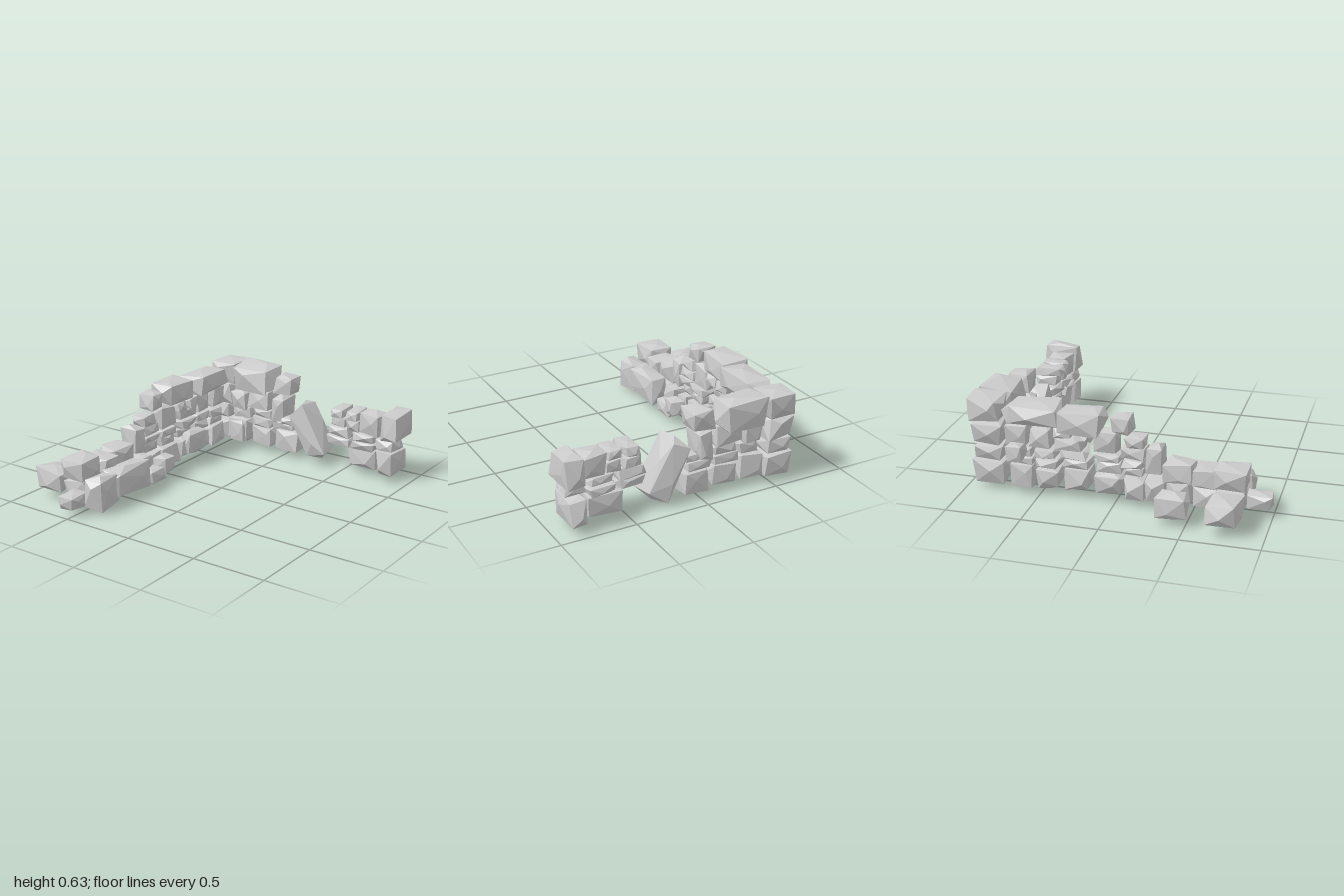
import * as THREE from 'three';
import { ConvexGeometry } from 'three/addons/geometries/ConvexGeometry.js';

// Seeded random numbers in 0..1
let seed = 7;
const rand = () => {
  seed = (seed * 16807) % 2147483647;
  return seed / 2147483647;
};
const range = (a, b) => a + (b - a) * rand();

const material = new THREE.MeshStandardMaterial({ color: 0xcccccc, flatShading: true });

// A rough-hewn block: uneven corners plus bulging faces, fitted to the given size
function stoneGeometry(w, h, d) {
  const points = [];
  for (const x of [-1, 1]) for (const y of [-1, 1]) for (const z of [-1, 1]) {
    points.push(new THREE.Vector3(x * range(0.68, 0.98), y * range(0.68, 0.98), z * range(0.68, 0.98)));
  }
  for (let axis = 0; axis < 3; axis++) for (const s of [-1, 1]) {
    const p = new THREE.Vector3(range(-0.5, 0.5), range(-0.5, 0.5), range(-0.5, 0.5));
    p.setComponent(axis, s * 1.04);
    points.push(p);
  }
  const geometry = new ConvexGeometry(points);
  geometry.scale(w / 2.08, h / 2.08, d / 2.08);
  return geometry;
}

function stone(name, x, y, z, w, h, d) {
  const mesh = new THREE.Mesh(stoneGeometry(w, h, d), material);
  mesh.name = name;
  mesh.position.set(x, y, z);
  return mesh;
}

// A group of stones given as [x0, x1, y0, y1, z0, z1]
function course(name, rows) {
  const group = new THREE.Group();
  group.name = name;
  rows.forEach(([x0, x1, y0, y1, z0, z1], i) => group.add(stone(
    `${name}Stone${i + 1}`, (x0 + x1) / 2, (y0 + y1) / 2, (z0 + z1) / 2, x1 - x0, y1 - y0, z1 - z0)));
  return group;
}

// Stones of the back wall, which runs along x: [x0, x1, y0, y1], common depth
const alongX = (z0, z1, rows) => rows.map(r => [...r, z0 + range(-0.02, 0.02), z1 + range(-0.02, 0.02)]);
// Stones of the side wall, which runs along z: [z0, z1, y0, y1], common width
const alongZ = (x0, x1, rows) => rows.map(([z0, z1, y0, y1]) =>
  [x0 + range(-0.02, 0.02), x1 + range(-0.02, 0.02), y0, y1, z0, z1]);

export function createModel() {
  seed = 7;
  const wall = new THREE.Group();
  wall.name = 'ruinedStoneWall';

  // Corner pile where the two walls meet
  wall.add(course('corner', [
    [-0.67, -0.44, 0.03, 0.21, -0.97, -0.72],
    [-0.65, -0.45, 0.19, 0.31, -0.96, -0.74],
    [-0.66, -0.44, 0.3, 0.47, -0.98, -0.74],
    [-0.66, -0.43, 0.45, 0.62, -1, -0.75],
  ]));

  // Back wall, from the base up
  wall.add(course('backBase', alongX(-0.93, -0.73, [
    [-0.47, -0.27, 0.04, 0.23], [-0.28, -0.07, 0.04, 0.2], [-0.07, 0.13, 0.04, 0.21],
  ])));
  wall.add(course('backThin', alongX(-0.9, -0.75, [
    [-0.45, -0.28, 0.21, 0.31], [-0.29, -0.1, 0.18, 0.26], [-0.1, 0.1, 0.19, 0.26],
    [-0.27, -0.1, 0.25, 0.32], [-0.02, 0.1, 0.24, 0.3],
  ])));
  wall.add(course('backMiddle', alongX(-0.91, -0.74, [
    [-0.45, -0.31, 0.28, 0.43], [-0.31, -0.1, 0.31, 0.47], [-0.09, 0.02, 0.24, 0.46],
  ])));
  wall.add(course('backTop', [
    [-0.45, -0.11, 0.41, 0.63, -0.99, -0.74], [-0.1, 0.08, 0.45, 0.6, -0.92, -0.75],
  ]));

  // Separate stretch at the far end of the back wall
  wall.add(course('endBase', [
    [0.53, 0.78, 0.05, 0.21, -0.92, -0.73], [0.78, 0.92, 0.03, 0.23, -0.97, -0.69],
  ]));
  wall.add(course('endThin', alongX(-0.9, -0.72, [
    [0.36, 0.57, 0.18, 0.25], [0.36, 0.57, 0.25, 0.33], [0.56, 0.78, 0.19, 0.26],
    [0.57, 0.76, 0.25, 0.31], [0.76, 0.92, 0.22, 0.31],
  ])));
  wall.add(course('endMiddle', alongX(-0.9, -0.71, [
    [0.4, 0.53, 0.32, 0.4], [0.53, 0.64, 0.31, 0.4], [0.41, 0.52, 0.39, 0.46],
    [0.53, 0.63, 0.39, 0.46], [0.62, 0.8, 0.29, 0.47],
  ])));
  wall.add(course('endTop', [[0.8, 0.94, 0.28, 0.5, -0.97, -0.69]]));

  // Long slab leaning in the gap
  const slab = stone('leaningSlab', 0.22, 0.23, -0.81, 0.17, 0.43, 0.23);
  slab.rotation.z = 0.47;
  wall.add(slab);

  // Side wall, from the base up
  wall.add(course('sideBase', alongZ(-0.67, -0.44, [
    [-0.72, -0.52, 0.04, 0.21], [-0.53, -0.36, 0.04, 0.2], [-0.36, -0.15, 0.05, 0.21],
    [-0.15, 0.07, 0.05, 0.21], [0.06, 0.2, 0.04, 0.2], [0.19, 0.33, 0.04, 0.21],
    [0.32, 0.5, 0.03, 0.2], [0.5, 0.66, 0.04, 0.2],
  ])));
  wall.add(course('sideThin', alongZ(-0.65, -0.48, [
    [-0.7, -0.53, 0.19, 0.26], [-0.54, -0.36, 0.19, 0.26], [-0.36, -0.16, 0.2, 0.27],
    [-0.13, 0.05, 0.2, 0.28], [0.04, 0.2, 0.19, 0.27],
    [-0.7, -0.55, 0.24, 0.31], [-0.55, -0.38, 0.25, 0.32], [-0.38, -0.18, 0.26, 0.33],
    [-0.14, 0.04, 0.26, 0.32], [0.04, 0.2, 0.26, 0.32],
  ])));
  wall.add(course('sideMiddle', alongZ(-0.64, -0.48, [
    [-0.74, -0.58, 0.3, 0.48], [-0.57, -0.42, 0.31, 0.47], [-0.42, -0.28, 0.39, 0.47],
    [-0.42, -0.2, 0.32, 0.41], [-0.27, -0.15, 0.39, 0.47], [-0.16, 0.02, 0.31, 0.48],
    [0.03, 0.2, 0.31, 0.39], [0.05, 0.2, 0.37, 0.46], [0.19, 0.31, 0.21, 0.42],
  ])));
  wall.add(course('sideTop', [
    [-0.67, -0.43, 0.46, 0.61, -0.76, -0.35], [-0.7, -0.48, 0.45, 0.61, -0.38, -0.06],
    [-0.65, -0.49, 0.47, 0.59, -0.03, 0.11],
  ]));

  // Low front end of the side wall
  wall.add(course('frontEnd', [
    [-0.66, -0.48, 0.18, 0.33, 0.3, 0.52], [-0.67, -0.46, 0.17, 0.3, 0.49, 0.66],
    [-0.7, -0.49, 0.18, 0.34, 0.63, 0.86], [-0.68, -0.48, 0.03, 0.2, 0.64, 0.84],
    [-0.5, -0.33, 0.04, 0.25, 0.31, 0.69], [-0.5, -0.34, 0, 0.25, 0.62, 0.87],
    [-0.6, -0.46, 0.04, 0.15, 0.82, 1],
  ]));

  // Small stones filling the inner face of the side wall
  wall.add(course('innerFill', [
    [-0.52, -0.42, 0.06, 0.24, -0.42, -0.2], [-0.44, -0.3, 0.05, 0.21, -0.82, -0.7],
    [-0.71, -0.58, 0.23, 0.35, -0.71, -0.58],
  ]));

  // Fallen stones on either side
  wall.add(course('fallen', [
    [-0.95, -0.69, 0.06, 0.22, 0.63, 0.85], [-0.87, -0.72, 0.04, 0.21, 0.3, 0.52],
    [-0.47, -0.35, 0.02, 0.13, 0.13, 0.31], [-0.46, -0.34, 0.06, 0.19, 0.04, 0.18],
  ]));

  return wall;
}
